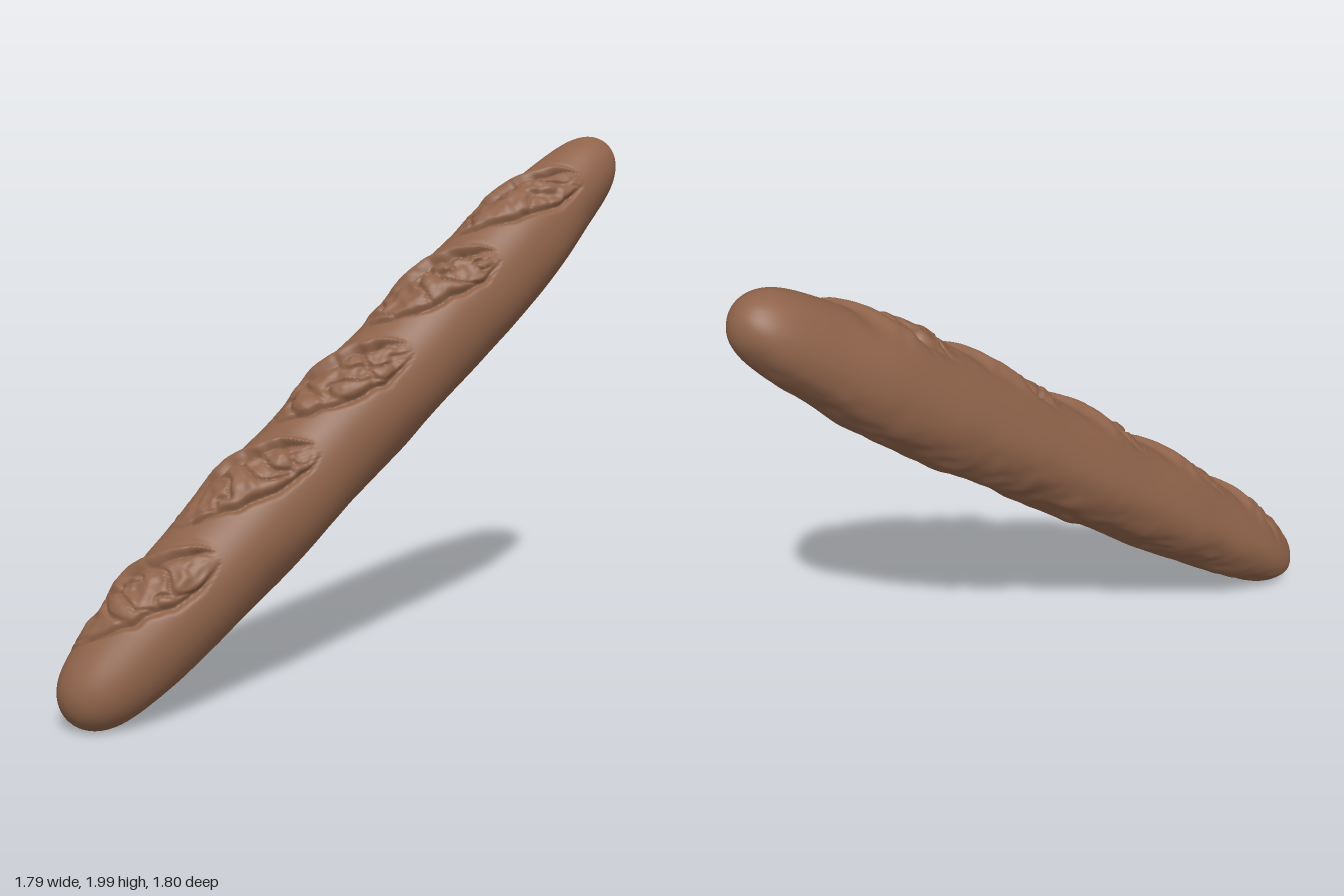
import * as THREE from 'three';

// Lattice noise in -1..1
const hash = (i, j) => {
  const h = Math.sin(i * 127.1 + j * 311.7) * 43758.5453;
  return (h - Math.floor(h)) * 2 - 1;
};
function noise(x, y) {
  const i = Math.floor(x), j = Math.floor(y);
  const f = x - i, g = y - j;
  const u = f * f * (3 - 2 * f), v = g * g * (3 - 2 * g);
  const low = hash(i, j) * (1 - u) + hash(i + 1, j) * u;
  const high = hash(i, j + 1) * (1 - u) + hash(i + 1, j + 1) * u;
  return low * (1 - v) + high * v;
}
const bump = (x, centre, width) => Math.exp(-(((x - centre) / width) ** 2));
const { smoothstep } = THREE.MathUtils;

const HALF = 1.53;       // half length of the loaf
const SPACING = 0.52;    // distance between the scored cuts
const FIRST = -1.09;     // position of the lowest cut

// Relief of one leaf-shaped cut: swollen crumb, cracked lower edge, raised ear on the upper edge
function cutRelief(t, s, k) {
  const dt = t - (FIRST + k * SPACING), ds = s - 0.035;
  const a = (dt * 0.9 - ds * 0.435) / 0.3;
  if (Math.abs(a) >= 1) return 0;
  const taper = 1 - a * a;
  const ragged = 0.1 * noise(a * 6 + k * 7, k * 3.1);
  const w = (dt * 0.435 + ds * 0.9) / (0.105 * Math.pow(taper, 0.7) + 0.006) + ragged;
  const fade = Math.min(1, taper * 1.8) * (1 - smoothstep(s, 0.14, 0.2));
  let h = 0;
  if (Math.abs(w) < 1) {
    // torn crumb inside the cut
    const fold = noise(a * 4 + k * 11, w * 2 + a * 2);
    const fine = noise(a * 11 + k * 5, w * 4 - a * 3);
    h += (1 - w * w) * (0.012 + 0.01 * fold + 0.006 * fine - 0.018 * bump(fold, 0, 0.13));
  }
  h += 0.022 * bump(w, 0.98, 0.18) - 0.02 * bump(w, 0.64, 0.12);
  h -= 0.022 * bump(w, -0.9, 0.11);
  h -= 0.006 * bump(w, 1.45, 0.25);
  return h * fade;
}

// Thickness along the loaf: rounded tips, the upper end slimmer
function thickness(e) {
  const taper = smoothstep(Math.abs(e), 0.4, 0.95);
  return (1 - (e < 0 ? 0.15 : 0.25) * taper) * Math.sqrt(Math.max(0, 1 - Math.pow(e, 12)));
}

function createLoafGeometry() {
  const rows = 460, cols = 150;
  const along = new THREE.Vector3(0.552, 0.623, -0.552).normalize();
  const up = new THREE.Vector3(0, 0.663, 0.748).normalize();
  const side = new THREE.Vector3().crossVectors(up, along).normalize();
  const positions = [], index = [];
  const p = new THREE.Vector3();

  for (let i = 0; i <= rows; i++) {
    // ease the last rows into the rounded tips
    const v = (i / rows) * 2 - 1;
    const e = Math.sign(v) * (1 - Math.pow(1 - Math.abs(v), 1.2));
    const t = e * HALF;
    const f = thickness(e);
    const swell = Math.cos((t - FIRST) / SPACING * 2 * Math.PI);
    const sway = (e < 0 ? 0.012 : 0.004) * e * Math.abs(e);

    for (let j = 0; j < cols; j++) {
      const phi = (j / cols) * 2 * Math.PI;
      const theta = phi - 0.45 * Math.sin(phi);   // denser on the top crust
      const c = Math.cos(theta), sn = Math.sin(theta);
      const top = Math.max(0, c);
      // oval section with a flatter underside
      let x = (sn > 0 ? 0.205 : 0.215) * sn * f;
      let y = (c > 0 ? 0.212 * c : -(0.178 + 0.03 * e) * Math.pow(-c, 0.8)) * f;

      // gently scalloped crust between cuts, soft dents elsewhere
      let h = 0.007 * swell * (0.25 + 0.75 * top);
      h += 0.005 * noise(t * 4 + 20, c * 1.5 + 5) * (0.5 + 0.5 * Math.abs(sn));
      // dented base
      const base = Math.pow(Math.max(0, -c), 2);
      h += base * (0.009 * noise(t * 7, x * 12) + 0.004 * noise(t * 16 + 9, x * 22));
      if (c > 0) for (let k = 0; k < 5; k++) h += cutRelief(t, x, k) * Math.min(1, c * 2);
      h *= Math.min(1, f * 1.6) * f;

      x += sn * h + sway;
      y += c * h + 0.012;
      p.set(0, 0, 0).addScaledVector(along, t).addScaledVector(side, x).addScaledVector(up, y);
      positions.push(p.x, p.y, p.z);

      if (i < rows) {
        const n = (j + 1) % cols;
        const A = i * cols + j, B = A + cols, C = i * cols + n, D = C + cols;
        index.push(A, B, C, B, D, C);
      }
    }
  }

  const geometry = new THREE.BufferGeometry();
  geometry.setAttribute('position', new THREE.Float32BufferAttribute(positions, 3));
  geometry.setIndex(index);

  // stand on the floor, centred
  geometry.computeBoundingBox();
  const mid = geometry.boundingBox.getCenter(new THREE.Vector3());
  geometry.translate(-mid.x, -geometry.boundingBox.min.y, -mid.z);
  geometry.computeVertexNormals();
  return geometry;
}

export function createModel() {
  const group = new THREE.Group();
  group.name = 'breadLoaf';
  const crust = new THREE.MeshStandardMaterial({ color: 0x8f634a });
  crust.name = 'brownCrust';
  const loaf = new THREE.Mesh(createLoafGeometry(), crust);
  loaf.name = 'scoredLoaf';
  group.add(loaf);
  return group;
}
